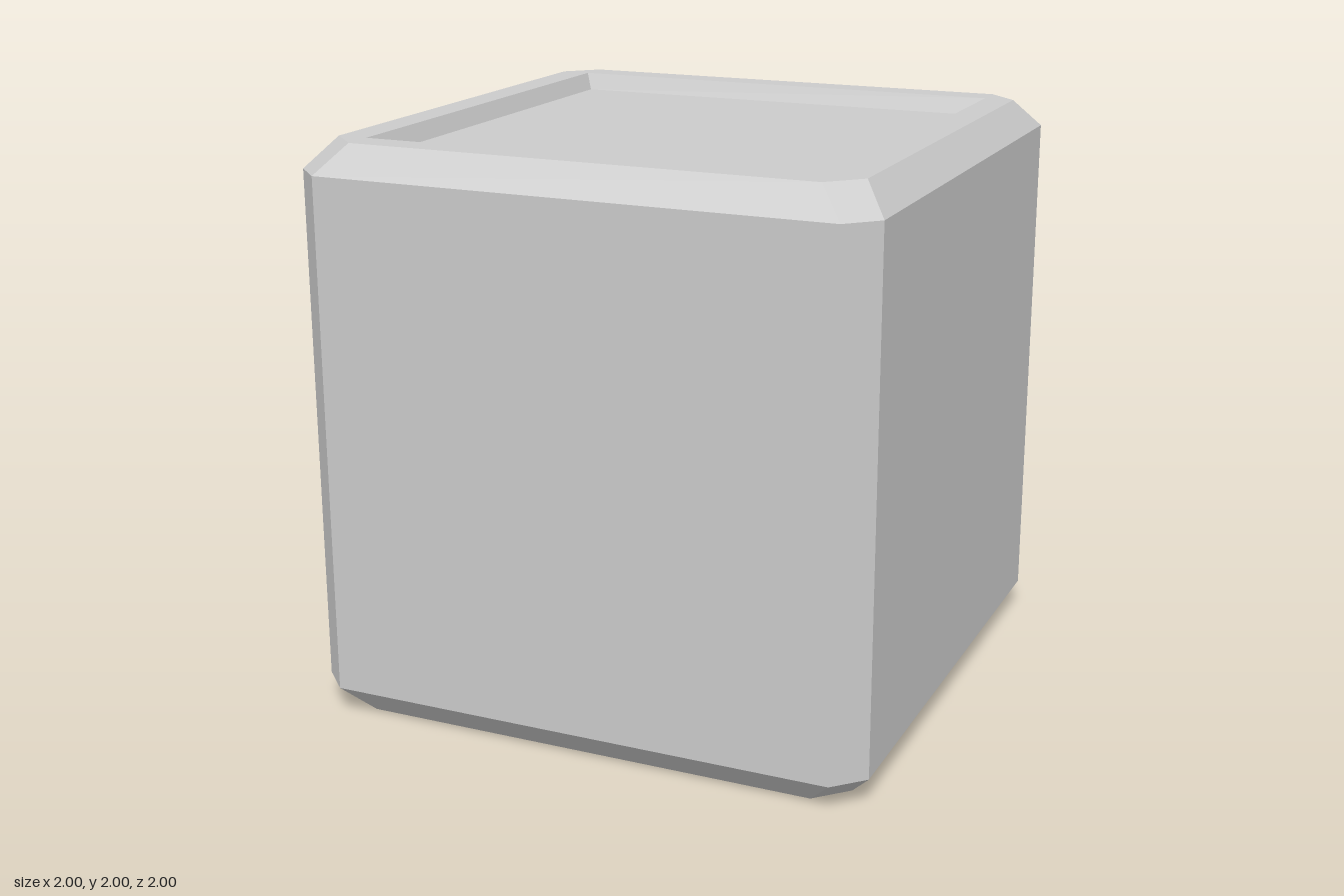
import * as THREE from 'three';

// Square ring at height y with its corners cut off (cut = 0 gives a plain square)
function ring(half, cut, y) {
  const k = half - cut;
  return [[k, half], [half, k], [half, -k], [k, -half], [-k, -half], [-half, -k], [-half, k], [-k, half]]
    .map(([x, z]) => new THREE.Vector3(x, y, z));
}

// Flat-faced skin between successive rings, skipping collapsed triangles
function loft(rings) {
  const points = [];
  const tri = (a, b, c) => {
    if (a.equals(b) || b.equals(c) || c.equals(a)) return;
    points.push(a, b, c);
  };
  for (let r = 0; r < rings.length - 1; r++) {
    const lo = rings[r], hi = rings[r + 1];
    for (let i = 0; i < 8; i++) {
      const j = (i + 1) % 8;
      tri(lo[i], lo[j], hi[j]);
      tri(lo[i], hi[j], hi[i]);
    }
  }
  const geometry = new THREE.BufferGeometry().setFromPoints(points);
  geometry.computeVertexNormals();
  return geometry;
}

export function createModel() {
  const group = new THREE.Group();
  group.name = 'bevelledBlock';
  const material = new THREE.MeshStandardMaterial({
    color: 0xcccccc, flatShading: true, side: THREE.DoubleSide,
  });
  const add = (name, geometry) => {
    const mesh = new THREE.Mesh(geometry, material);
    mesh.name = name;
    group.add(mesh);
  };

  const bottom = ring(0.915, 0.105, 0);
  const lower = ring(1, 0.1, 0.1);
  const upper = ring(1, 0.1, 1.9);
  const top = ring(0.915, 0.105, 2);
  const lip = ring(0.81, 0, 2);
  const floorEdge = ring(0.785, 0, 1.94);

  // Hollow body, open underneath, with bevelled edges
  add('bottomBevel', loft([bottom, lower]));
  add('walls', loft([lower, upper]));
  add('topBevel', loft([upper, top]));

  // Flat rim around the shallow sloped recess
  add('topRim', loft([top, lip]));
  add('recessWalls', loft([lip, floorEdge]));
  const floor = new THREE.PlaneGeometry(1.57, 1.57).rotateX(-Math.PI / 2).translate(0, 1.94, 0);
  add('recessFloor', floor);

  return group;
}
